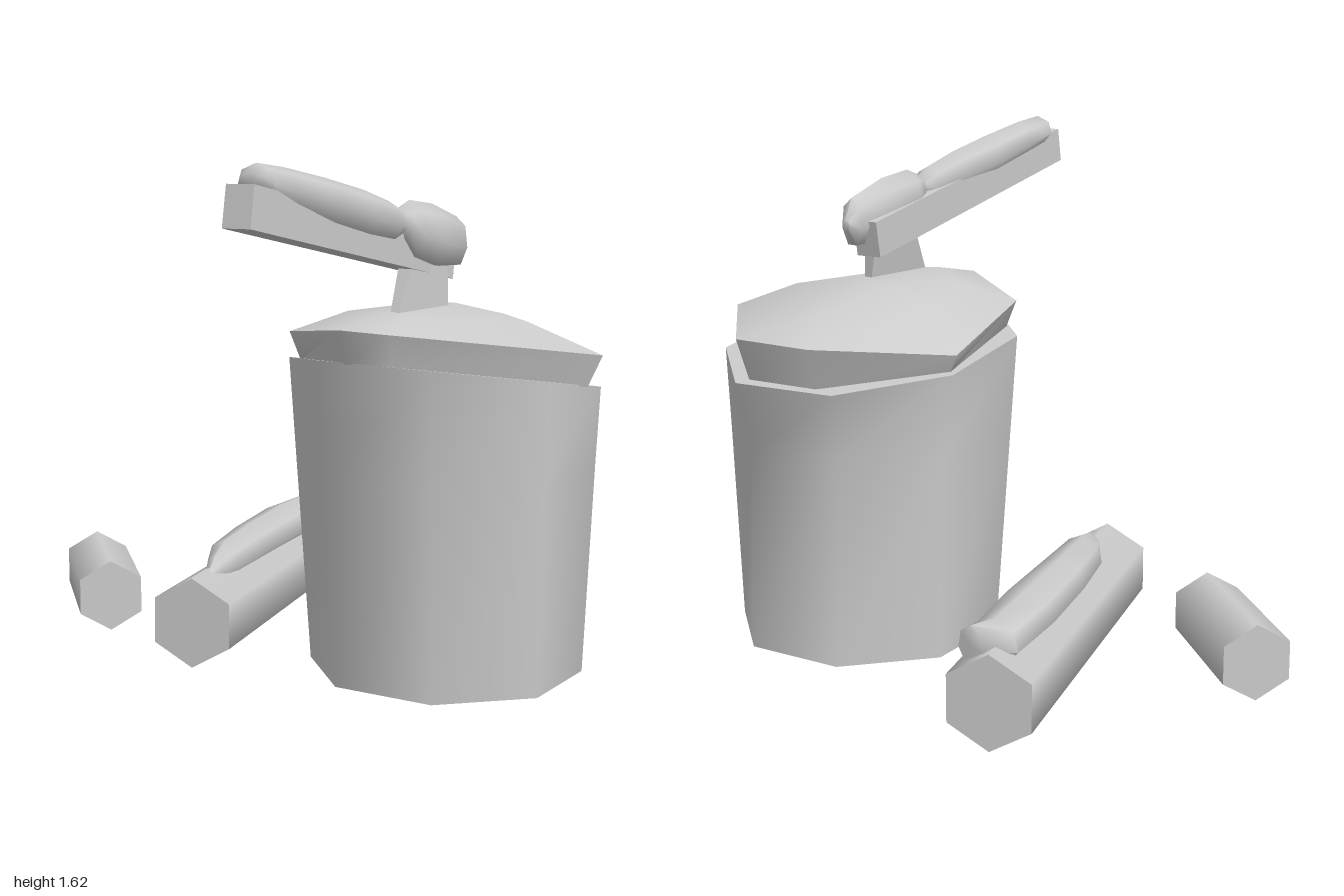
import * as THREE from 'three';
import { toCreasedNormals } from 'three/addons/utils/BufferGeometryUtils.js';

const material = new THREE.MeshStandardMaterial({ color: 0xcccccc });
const V = (x, y, z) => new THREE.Vector3(x, y, z);

function mesh(name, geometry) {
  const m = new THREE.Mesh(geometry, material);
  m.name = name;
  return m;
}

// Skin a row of equal rings (right-handed about the row's direction) and close both ends
function loft(rings, crease) {
  const pos = [];
  const tri = (...pts) => pts.forEach((p) => pos.push(p.x, p.y, p.z));
  const n = rings[0].length;
  const middle = (r) => r.reduce((s, p) => s.add(p), V(0, 0, 0)).divideScalar(n);
  const last = rings[rings.length - 1];
  const start = middle(rings[0]);
  const end = middle(last);
  for (let i = 0; i < n; i++) {
    const j = (i + 1) % n;
    for (let k = 0; k + 1 < rings.length; k++) {
      const a = rings[k];
      const b = rings[k + 1];
      tri(a[i], a[j], b[j], a[i], b[j], b[i]);
    }
    tri(start, rings[0][j], rings[0][i]);
    tri(end, last[i], last[j]);
  }
  const g = new THREE.BufferGeometry();
  g.setAttribute('position', new THREE.Float32BufferAttribute(pos, 3));
  return toCreasedNormals(g, crease);
}

// Snow lump running along z; sections are [x, y, z, half width, half height]
function snowLump(name, sections, sides = 7) {
  const rings = sections.map(([x, y, z, w, h]) =>
    Array.from({ length: sides }, (_, i) => {
      const a = Math.PI / 2 + (i / sides) * Math.PI * 2;
      return V(x + Math.cos(a) * w, y + Math.sin(a) * h, z);
    }));
  return mesh(name, loft(rings, 1.2));
}

// Place a z-aligned geometry between two points
function between(name, geometry, a, b) {
  const m = mesh(name, geometry);
  m.position.copy(a).add(b).multiplyScalar(0.5);
  m.lookAt(b);
  return m;
}

function log(name, radius, a, b) {
  const g = new THREE.CylinderGeometry(radius, radius, a.distanceTo(b), 6);
  return between(name, g.rotateX(Math.PI / 2), a, b);
}

// Sloping cut across the top of the stump
const cutHeight = (z) => 0.993 + 0.149 * z;

function stump() {
  const ring = (cx, cz, r, height, dents = {}) =>
    Array.from({ length: 8 }, (_, k) => {
      const a = THREE.MathUtils.degToRad(-16 + 45 * k);
      const d = r * (dents[k] ?? 1);
      const z = cz - Math.sin(a) * d;
      return V(cx + Math.cos(a) * d, height(z), z);
    });
  return mesh('stump', loft([
    ring(0.495, -0.25, 0.44, () => 0),
    ring(0.492, -0.233, 0.476, () => 0.67, { 2: 0.91, 3: 0.92, 4: 0.96 }),
    ring(0.49, -0.225, 0.493, cutHeight),
  ], 0.95));
}

function stumpSnow() {
  const rim = [
    V(1.0, 1.04, -0.33), V(0.62, 1.03, -0.695), V(0.33, 1.03, -0.67), V(0.01, 1.0, -0.35),
    V(0.13, 1.09, 0.10), V(0.46, 1.13, 0.28), V(0.60, 1.12, 0.22),
  ];
  const scaled = (s, height) => rim.map((p) => {
    const z = -0.2 + (p.z + 0.2) * s;
    return V(0.45 + (p.x - 0.45) * s, height(p, z), z);
  });
  return mesh('stumpSnow', loft([
    scaled(0.92, (p, z) => cutHeight(z) - 0.005),
    rim,
    scaled(0.58, (p) => p.y * 0.45 + 0.663),
    scaled(0.2, () => 1.172),
  ], 1.1));
}

function axe() {
  const g = new THREE.Group();
  g.name = 'axe';
  const butt = V(0.585, 1.513, 0.875);
  const tip = V(0.45, 1.31, -0.27);
  g.add(between('axeHandle', new THREE.BoxGeometry(0.09, 0.118, butt.distanceTo(tip)), tip, butt));

  // Wedge blade, thin edge buried in the stump
  const slab = (x, w, y, front, back) =>
    [V(x + w, y, front), V(x + w, y, back), V(x - w, y, back), V(x - w, y, front)];
  g.add(mesh('axeBlade', loft([
    slab(0.515, 0.006, 1.05, 0.12, -0.21),
    slab(0.485, 0.027, 1.34, -0.035, -0.21),
  ], 0.5)));

  g.add(snowLump('handleSnow', [
    [0.515, 1.435, 0.05, 0.035, 0.03],
    [0.515, 1.445, 0.11, 0.055, 0.06],
    [0.525, 1.472, 0.25, 0.065, 0.07],
    [0.54, 1.51, 0.45, 0.077, 0.07],
    [0.555, 1.55, 0.65, 0.07, 0.062],
    [0.558, 1.575, 0.77, 0.065, 0.05],
    [0.56, 1.575, 0.79, 0.05, 0.025],
  ]));
  g.add(snowLump('headSnow', [
    [0.445, 1.365, -0.37, 0.015, 0.02],
    [0.475, 1.365, -0.31, 0.045, 0.08],
    [0.5, 1.39, -0.14, 0.07, 0.1],
    [0.505, 1.415, -0.01, 0.07, 0.09],
    [0.515, 1.435, 0.05, 0.045, 0.05],
    [0.515, 1.44, 0.075, 0.02, 0.025],
  ]));
  return g;
}

export function createModel() {
  const model = new THREE.Group();
  model.add(stump(), stumpSnow(), axe());
  model.add(log('longLog', 0.147, V(-0.51, 0.157, -0.84), V(-0.085, 0.157, 0.33)));
  model.add(log('shortLog', 0.12, V(-0.935, 0.145, -0.095), V(-0.565, 0.145, 0.21)));
  model.add(snowLump('logSnow', [
    [-0.42, 0.3, -0.81, 0.045, 0.06],
    [-0.455, 0.3, -0.74, 0.085, 0.07],
    [-0.385, 0.305, -0.5, 0.1, 0.07],
    [-0.285, 0.3, -0.2, 0.09, 0.07],
    [-0.195, 0.295, 0.04, 0.075, 0.065],
    [-0.15, 0.285, 0.14, 0.042, 0.05],
    [-0.112, 0.265, 0.23, 0.008, 0.02],
  ]));
  return model;
}
